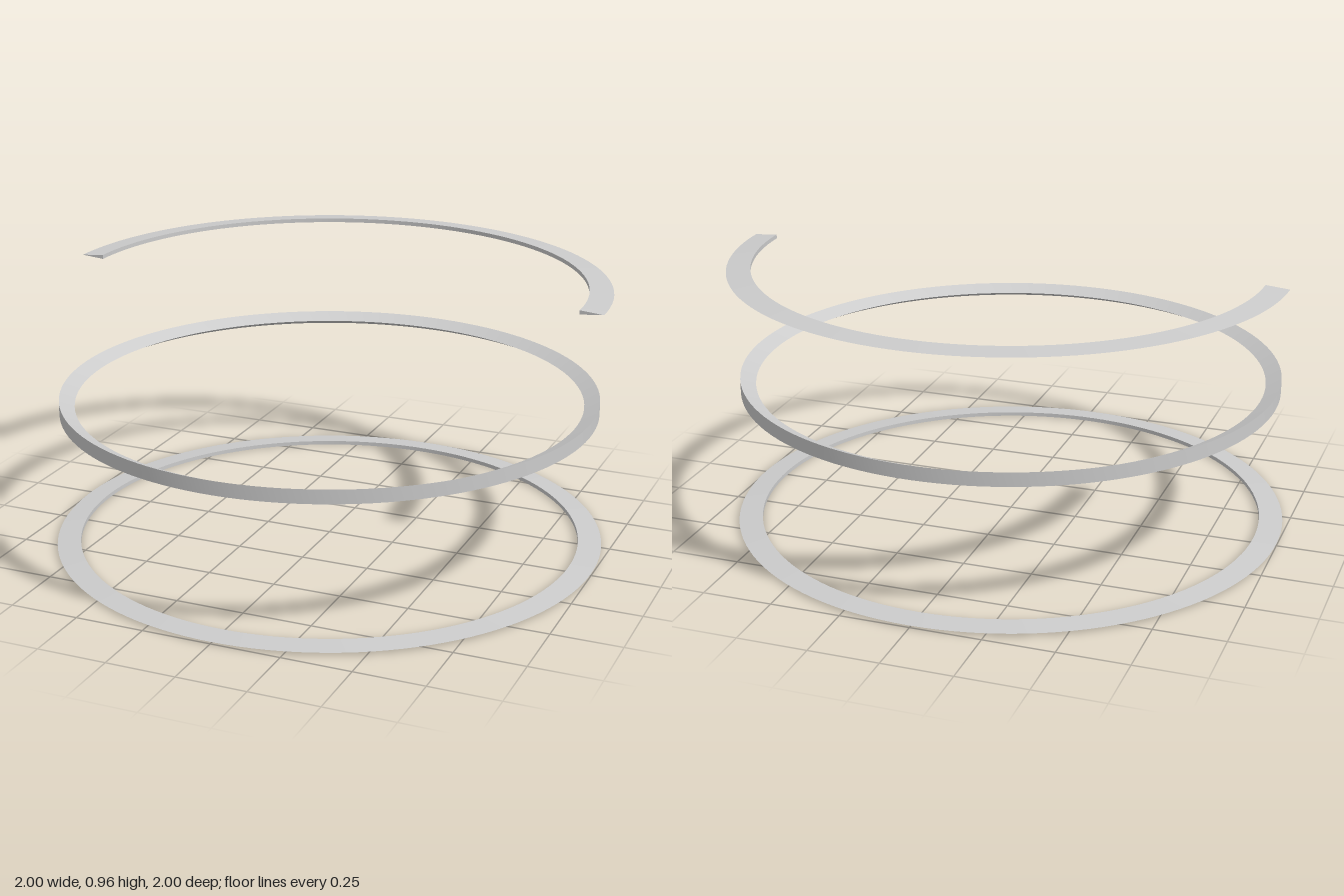
import * as THREE from 'three';
import { mergeGeometries, toCreasedNormals } from 'three/addons/utils/BufferGeometryUtils.js';

const material = new THREE.MeshStandardMaterial({ color: 0xcccccc });
const SEGMENTS = 128;

// Revolve a closed counter-clockwise (radius, height) profile, keeping its edges sharp
function revolve(profile, start = 0, sweep = Math.PI * 2) {
  const points = [...profile, profile[0]].map(([r, y]) => new THREE.Vector2(r, y));
  const segments = Math.round(SEGMENTS * sweep / (Math.PI * 2));
  return toCreasedNormals(new THREE.LatheGeometry(points, segments, start, sweep), 0.2);
}

// Flat end face at z = 0, on the left (side = 1) or right (side = -1)
function endCap(profile, side) {
  const shape = new THREE.Shape(profile.map(([r, y]) => new THREE.Vector2(r * side, y)));
  return new THREE.ShapeGeometry(shape).toNonIndexed();
}

function part(name, geometry, y) {
  const mesh = new THREE.Mesh(geometry, material);
  mesh.name = name;
  mesh.position.y = y;
  return mesh;
}

export function createModel() {
  const group = new THREE.Group();
  group.name = 'stackedRings';

  // Thin wedge: short inner wall tapering to a sharp outer rim
  const wedge = [[0.915, -0.0075], [1, 0], [0.915, 0.0075]];
  // Band: upright outer wall tapering to a sharp inner rim
  const band = [[0.97, -0.025], [0.97, 0.025], [0.915, 0]];

  group.add(part('lowerRing', revolve(wedge), 0.0075));
  group.add(part('middleRing', revolve(band), 0.537));

  // Upper half ring covers only the back
  const halfRing = mergeGeometries([
    revolve(wedge, Math.PI / 2, Math.PI),
    endCap(wedge, 1),
    endCap(wedge, -1),
  ]);
  group.add(part('upperHalfRing', halfRing, 0.957));

  return group;
}
